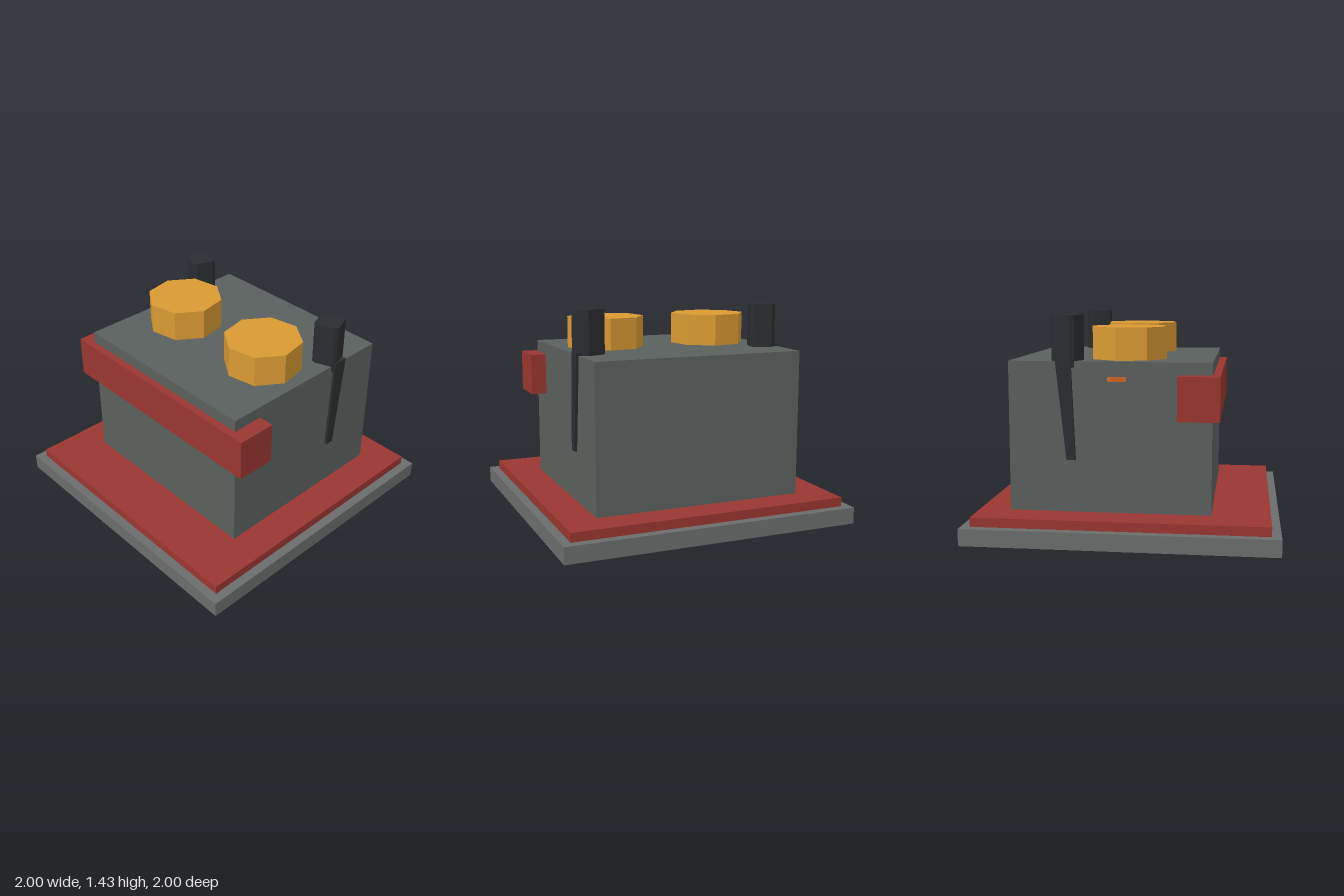
import * as THREE from 'three';

const mat = (color) => new THREE.MeshStandardMaterial({ color, flatShading: true });

export function createModel() {
  const model = new THREE.Group();
  const stone = mat(0x5a605d), slate = mat(0x6a6d6c), red = mat(0x9a3630);
  const gold = mat(0xd99a33), black = mat(0x2a2d30);

  const add = (name, geometry, material, x = 0, y = 0, z = 0, turn = 0) => {
    const mesh = new THREE.Mesh(geometry, material);
    mesh.name = name;
    mesh.position.set(x, y, z);
    mesh.rotation.y = turn;
    model.add(mesh);
  };
  // Box given by its lower and upper limits
  const box = (name, material, [x0, y0, z0], [x1, y1, z1]) =>
    add(name, new THREE.BoxGeometry(x1 - x0, y1 - y0, z1 - z0), material,
      (x0 + x1) / 2, (y0 + y1) / 2, (z0 + z1) / 2);
  const shape = (points) => new THREE.Shape(points.map(([x, y]) => new THREE.Vector2(x, y)));

  // Stepped base, main block and front band
  box('base', slate, [-1, 0, -1], [1, 0.11, 1]);
  box('basePlate', red, [-0.94, 0.11, -0.94], [0.94, 0.17, 0.94]);
  box('body', stone, [-0.71, 0.17, -0.735], [0.71, 1.14, 0.565]);
  box('frontBand', red, [-0.815, 0.78, 0.35], [0.815, 1.06, 0.615]);

  // Octagonal caps, both turned the same way
  for (const x of [-0.385, 0.38]) {
    add('cap', new THREE.CylinderGeometry(0.26, 0.26, 0.25, 8), gold, x, 1.225, 0, -0.21);
  }
  // Sunken flange whose corner just breaks through the side wall
  add('capFlange', new THREE.CylinderGeometry(0.35, 0.35, 0.03, 8), mat(0xd06a25), -0.385, 1.03, 0, -0.21);

  // Chamfered square posts on top
  const h = 0.084, c = 0.062;
  const postGeometry = new THREE.ExtrudeGeometry(
    shape([[h, -c], [h, c], [c, h], [-c, h], [-h, c], [-h, -c], [-c, -h], [c, -h]]),
    { depth: 0.33, bevelEnabled: false }).rotateX(-Math.PI / 2);

  // Tapering spikes that run down the side walls
  const spikeGeometry = new THREE.ExtrudeGeometry(
    shape([[-0.36, 0.51], [-0.302, 0.51], [-0.33, 1.16], [-0.43, 1.16]]),
    { depth: 0.04, bevelEnabled: false }).translate(0, 0, -0.02).rotateY(-Math.PI / 2);

  for (const side of [-1, 1]) {
    add('post', postGeometry, black, side * 0.625, 1.1, -0.365, side * 0.36);
    add('spike', spikeGeometry, black, side * 0.708);
  }
  return model;
}
